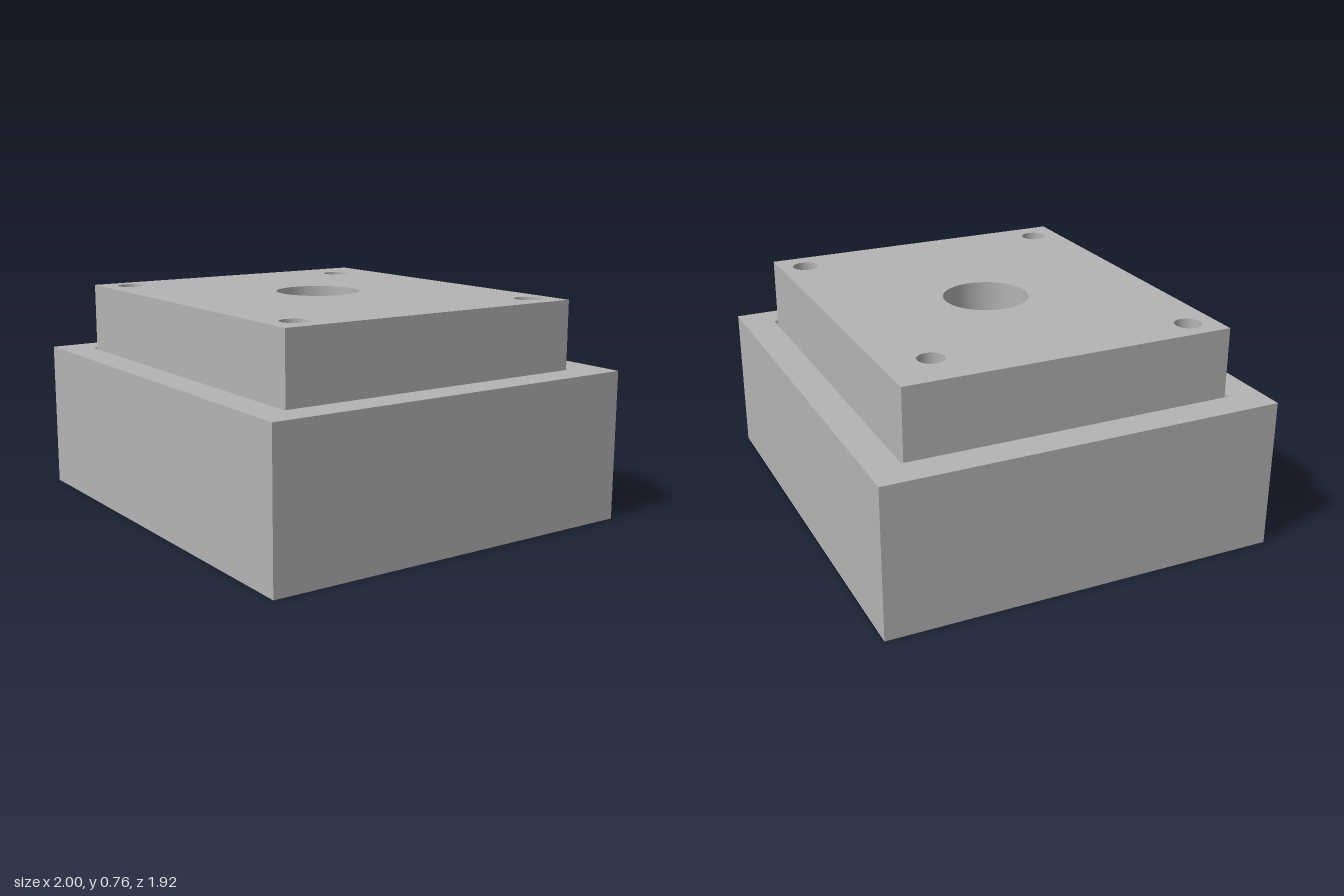
import * as THREE from 'three';
import { mergeGeometries } from 'three/addons/utils/BufferGeometryUtils.js';

const BASE = [1.563, 1.394], POCKET = [1.338, 1.168], PLATE = [1.317, 1.146];
const FLOOR = 0.27, RIM = 0.525, TOP = 0.765;
const BOLTS = [[-0.489, -0.408], [0.556, -0.48], [0.552, 0.473], [-0.564, 0.473]].map(([x, z]) => [x, z, 0.046]);
const CENTRE = [-0.033, -0.012, 0.149];
const SEGMENTS = 48;

// Turns a geometry inside out, for surfaces seen from within
function flip(geo) {
  geo.index.array.reverse();
  const n = geo.attributes.normal.array;
  for (let i = 0; i < n.length; i++) n[i] = -n[i];
  return geo;
}

// Four vertical sides of a rectangular block
function sides([w, d], y0, y1) {
  return mergeGeometries([0, 1, 2, 3].map((i) => {
    const [len, off] = i % 2 ? [d, w / 2] : [w, d / 2];
    return new THREE.PlaneGeometry(len, y1 - y0)
      .translate(0, (y0 + y1) / 2, off)
      .rotateY(i * Math.PI / 2);
  }));
}

// Smooth inner wall of a round hole
function bore([x, z, r], y0, y1) {
  return flip(new THREE.CylinderGeometry(r, r, y1 - y0, SEGMENTS, 1, true)
    .translate(x, (y0 + y1) / 2, z));
}

function rectPath([w, d], Type) {
  const x = w / 2, z = d / 2;
  return new Type([[-x, -z], [x, -z], [x, z], [-x, z]].map((p) => new THREE.Vector2(...p)));
}

// Flat horizontal face with round holes and an optional rectangular opening
function face(size, y, circles, opening, down) {
  const shape = rectPath(size, THREE.Shape);
  for (const [x, z, r] of circles) {
    const pts = [];
    for (let i = 0; i < SEGMENTS; i++) {
      const a = i / SEGMENTS * Math.PI * 2;
      pts.push(new THREE.Vector2(x + r * Math.sin(a), -z - r * Math.cos(a)));
    }
    shape.holes.push(new THREE.Path(pts));
  }
  if (opening) shape.holes.push(rectPath(opening, THREE.Path));
  const geo = new THREE.ShapeGeometry(shape).rotateX(-Math.PI / 2).translate(0, y, 0);
  return down ? flip(geo) : geo;
}

export function createModel() {
  const grey = new THREE.MeshStandardMaterial({ color: 0xb4b4b4 });
  grey.name = 'grey';
  const group = new THREE.Group();
  group.name = 'mountingBlock';
  const add = (name, parts) => {
    const mesh = new THREE.Mesh(mergeGeometries(parts), grey);
    mesh.name = name;
    group.add(mesh);
  };

  // Base block with a shallow pocket and four bolt holes through its floor
  add('base', [
    sides(BASE, 0, RIM),
    flip(sides(POCKET, FLOOR, RIM)),
    face(BASE, 0, BOLTS, null, true),
    face(BASE, RIM, [], POCKET, false),
    face(POCKET, FLOOR, BOLTS, null, false),
    ...BOLTS.map((b) => bore(b, 0, FLOOR)),
  ]);

  // Cover plate seated in the pocket, with bolt holes and a centre hole
  const holes = [...BOLTS, CENTRE];
  add('coverPlate', [
    sides(PLATE, FLOOR, TOP),
    face(PLATE, TOP, holes, null, false),
    face(PLATE, FLOOR, holes, null, true),
    ...holes.map((h) => bore(h, FLOOR, TOP)),
  ]);

  // The whole block stands turned about the vertical
  group.rotation.y = -24.6 * Math.PI / 180;
  return group;
}
